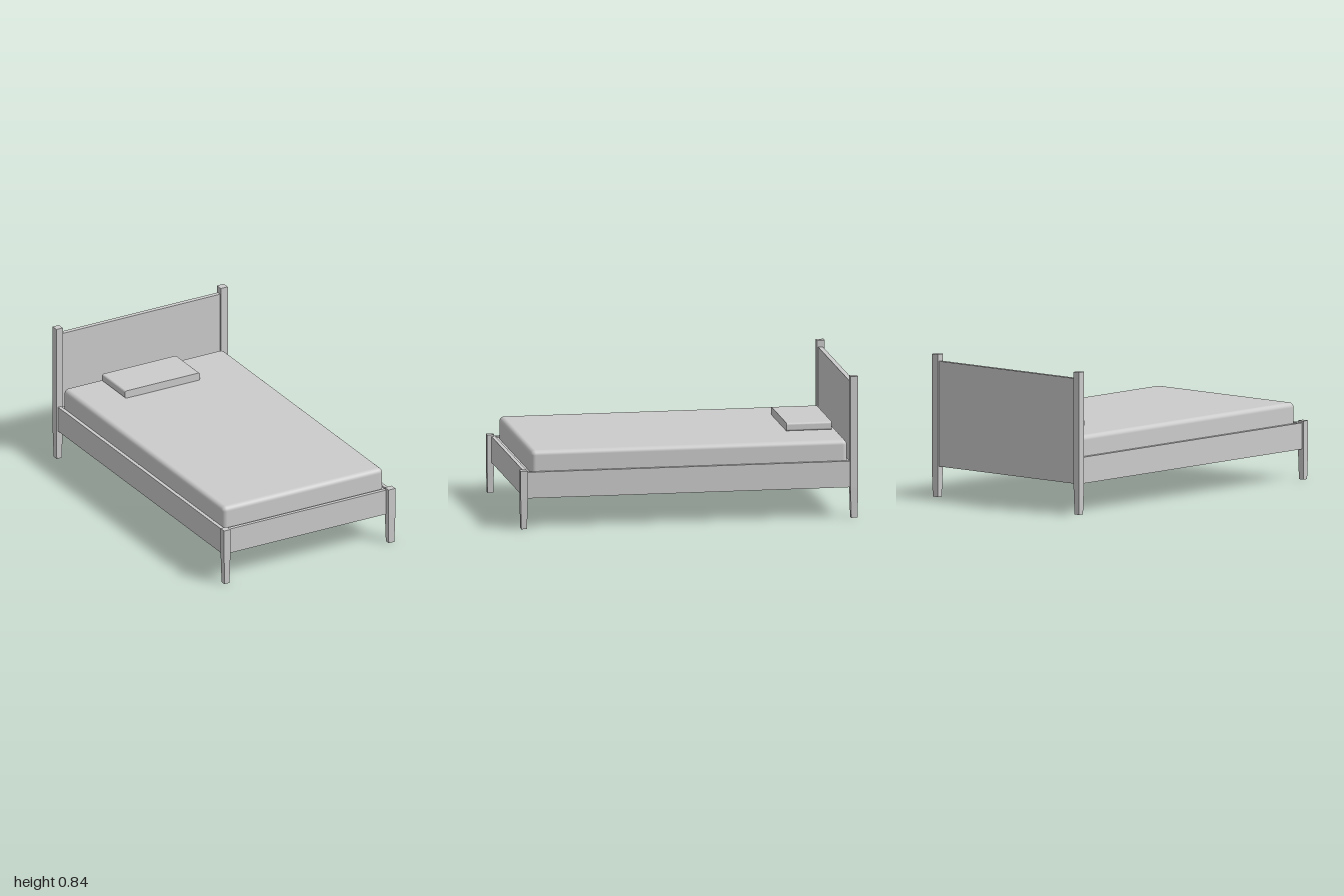
import * as THREE from 'three';
import { RoundedBoxGeometry } from 'three/addons/geometries/RoundedBoxGeometry.js';

const material = new THREE.MeshStandardMaterial({ color: 0xcccccc });

function addMesh(group, name, geometry) {
  const mesh = new THREE.Mesh(geometry, material);
  mesh.name = name;
  group.add(mesh);
  return mesh;
}

// Box given by its limits on each axis
function addBox(group, name, [x0, x1], [y0, y1], [z0, z1]) {
  const mesh = addMesh(group, name, new THREE.BoxGeometry(x1 - x0, y1 - y0, z1 - z0));
  mesh.position.set((x0 + x1) / 2, (y0 + y1) / 2, (z0 + z1) / 2);
  return mesh;
}

// Square post, straight above the rail and tapered to the foot below it
function postGeometry(width, height, depth, shoulder) {
  const box = new THREE.BoxGeometry(width, height, depth, 1, 2, 1);
  box.translate(0, height / 2, 0);
  const p = box.attributes.position;
  for (let i = 0; i < p.count; i++) {
    const y = p.getY(i);
    if (y < 0.001) {
      p.setX(i, p.getX(i) * 0.8);
      p.setZ(i, p.getZ(i) * 0.8);
    } else if (y < height - 0.001) {
      p.setY(i, shoulder);
    }
  }
  const flat = box.toNonIndexed();
  flat.computeVertexNormals();
  return flat;
}

export function createModel() {
  const bed = new THREE.Group();
  bed.name = 'bed';
  const bottom = 0.18, railTop = 0.335;

  // Four corner posts
  for (const [side, x, width] of [['right', -0.556, 0.042], ['left', 0.553, 0.047]]) {
    const foot = addMesh(bed, side + 'FootPost', postGeometry(width, 0.346, 0.042, bottom));
    foot.position.set(x, 0, 0.979);
    const head = addMesh(bed, side + 'HeadPost', postGeometry(width, 0.84, 0.046, bottom));
    head.position.set(x, 0, -0.977);
  }

  // Headboard and frame
  addBox(bed, 'headboard', [-0.555, 0.55], [bottom, 0.8], [-0.99, -0.962]);
  addBox(bed, 'footRail', [-0.555, 0.55], [bottom, railTop], [0.95, 0.973]);
  addBox(bed, 'rightRail', [-0.567, -0.545], [bottom, railTop], [-0.965, 0.965]);
  addBox(bed, 'leftRail', [0.54, 0.56], [bottom, railTop], [-0.965, 0.965]);
  addBox(bed, 'base', [-0.546, 0.541], [bottom, 0.325], [-0.963, 0.951]);

  // Mattress, sunk slightly into the frame
  const mattress = addMesh(bed, 'mattress', new RoundedBoxGeometry(1.078, 0.175, 1.873, 5, 0.028));
  mattress.position.set(-0.002, 0.456 - 0.0875, -0.006);

  // Pillow: rounded section with flat front and back
  const w = 0.2525, h = 0.024, r = 0.012;
  const section = new THREE.Shape();
  section.absarc(w - r, h - r, r, 0, Math.PI / 2);
  section.absarc(-w + r, h - r, r, Math.PI / 2, Math.PI);
  section.absarc(-w + r, -h + r, r, Math.PI, Math.PI * 1.5);
  section.absarc(w - r, -h + r, r, Math.PI * 1.5, Math.PI * 2);
  const pillow = addMesh(bed, 'pillow',
    new THREE.ExtrudeGeometry(section, { depth: 0.268, bevelEnabled: false, curveSegments: 5 }));
  pillow.position.set(-0.044, 0.479, -0.909);

  return bed;
}
